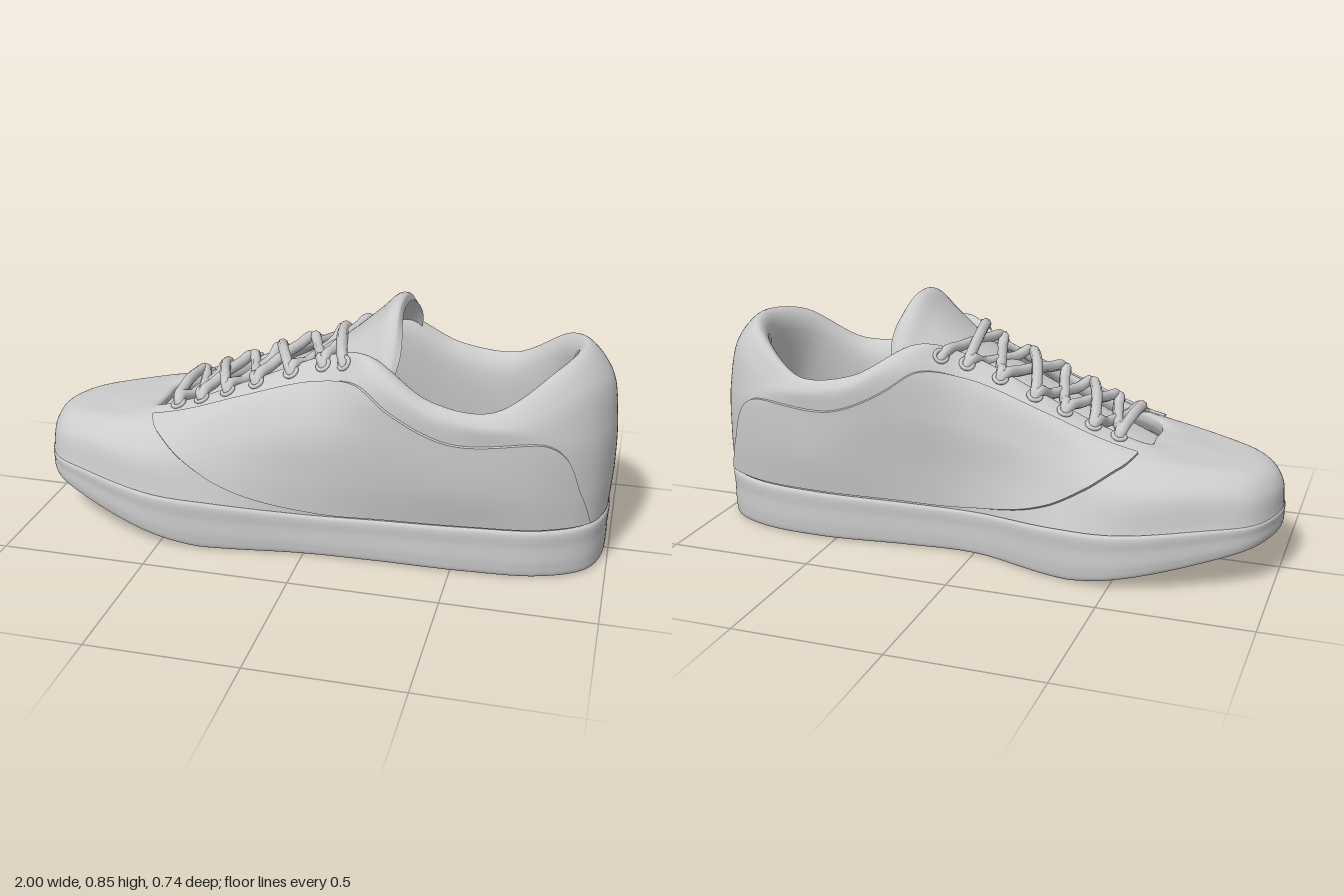
import * as THREE from 'three';
import { ParametricGeometry } from 'three/addons/geometries/ParametricGeometry.js';
import { toCreasedNormals } from 'three/addons/utils/BufferGeometryUtils.js';

const V = (x, y, z) => new THREE.Vector3(x, y, z);
const lerp = THREE.MathUtils.lerp;

// Rings of the upper, from sole joint to rim. Each row is [x, y, left z, right z],
// running along one side from the toe centre to the heel centre.
const joint = [
  [-1, .22, 0, 0], [-.94, .215, .185, -.185], [-.78, .21, .28, -.285], [-.52, .19, .36, -.365],
  [-.3, .175, .35, -.335], [0, .155, .31, -.24], [.25, .16, .3, -.25], [.55, .17, .295, -.28],
  [.8, .175, .265, -.255], [.945, .18, .175, -.17], [.988, .18, 0, 0]];
const low = [
  [-.99, .3, 0, 0], [-.93, .3, .165, -.165], [-.78, .32, .25, -.255], [-.54, .31, .33, -.335],
  [-.3, .3, .325, -.29], [0, .3, .315, -.235], [.25, .31, .325, -.265], [.55, .31, .325, -.3],
  [.8, .31, .28, -.27], [.945, .31, .18, -.175], [.997, .33, 0, 0]];
const middle = [
  [-.95, .35, 0, 0], [-.9, .355, .12, -.12], [-.75, .37, .2, -.2], [-.53, .385, .27, -.27],
  [-.28, .41, .285, -.25], [.02, .46, .305, -.235], [.25, .5, .335, -.285], [.52, .46, .335, -.305],
  [.78, .49, .29, -.28], [.94, .49, .175, -.17], [.992, .5, 0, 0]];
const high = [
  [-.78, .383, 0, 0], [-.75, .385, .09, -.09], [-.65, .4, .17, -.17], [-.46, .44, .2, -.19],
  [-.23, .52, .22, -.2], [.04, .61, .235, -.2], [.24, .65, .315, -.275], [.46, .56, .335, -.305],
  [.68, .55, .31, -.29], [.885, .64, .185, -.185], [.965, .64, 0, 0]];
const rim = [
  [-.57, .41, 0, 0], [-.57, .41, .09, -.08], [-.55, .42, .13, -.11], [-.4, .47, .135, -.115],
  [-.2, .56, .14, -.12], [.05, .67, .15, -.13], [.2, .715, .24, -.21], [.42, .6, .295, -.265],
  [.62, .58, .285, -.27], [.81, .7, .18, -.18], [.88, .73, 0, 0]];
// Padded collar turning in, then the lining going down
const fold = rim.map(([x, y, l, r], i) =>
  i < 6 ? [x, y - .025, l, r] : [lerp(x, .5, .1), y - .045, l * .86, r * .88]);
const lining = rim.map(([x, y, l, r], i) => i < 6 ? [x, y - .06, l * 1.15, r * 1.15]
  : [lerp(low[i][0], .5, .1), .2, low[i][2] * .82, low[i][3] * .86]);

// Closed ring: along the left side, back along the right
function ring(rows) {
  const left = rows.map(([x, y, l]) => V(x, y, l));
  const right = rows.slice(1, -1).reverse().map(([x, y, , r]) => V(x, y, r));
  return new THREE.CatmullRomCurve3([...left, ...right], true);
}
const rings = [joint, low, middle, high, rim, fold, lining].map(ring);
const STATIONS = 20, LEVELS = 6;

// Point of the upper at u around the shoe and v up from the sole
function upperPoint(u, v) {
  u = ((u % 1) + 1) % 1;
  return new THREE.CatmullRomCurve3(rings.map(r => r.getPoint(u))).getPoint(THREE.MathUtils.clamp(v, 0, 1));
}
function upperNormal(u, v) {
  const e = .002, v0 = Math.max(0, v - e);
  const du = upperPoint(u + e, v).sub(upperPoint(u - e, v));
  const dv = upperPoint(u, v + e).sub(upperPoint(u, v0));
  return du.cross(dv).normalize();
}

export function createModel() {
  const model = new THREE.Group();
  const mat = new THREE.MeshStandardMaterial({ color: 0xcccccc, side: THREE.DoubleSide });
  const add = (geometry, name, parent = model) => {
    const mesh = new THREE.Mesh(geometry, mat);
    mesh.name = name;
    parent.add(mesh);
    return mesh;
  };
  const surface = (fn, nu, nv) => new ParametricGeometry((u, v, p) => p.copy(fn(u, v)), nu, nv);

  add(surface(upperPoint, 160, 48), 'upper');

  // Sole wall with toe spring; steps are [outward spread, height fraction]
  const solePoint = (u, spread, f) => {
    const p = rings[0].getPoint(u);
    const ground = .15 * Math.pow(Math.max(0, -.35 - p.x) / .65, 1.2);
    return V(p.x * (1 + spread * .4), lerp(ground, p.y, f), p.z * (1 + spread * 2));
  };
  const steps = [[-.03, 0], [-.01, .03], [.002, .25], [.003, .6], [.003, .96], [-.03, 1]];
  add(surface((u, v) => new THREE.CatmullRomCurve3(
    steps.map(([s, f]) => solePoint(u, s, f))).getPoint(v), 140, 20), 'soleWall');
  add(surface((u, v) => solePoint(1 - u / 2, -.03, 0).lerp(solePoint(u / 2, -.03, 0), v), 60, 6), 'outsole');

  // Floor inside the shoe
  add(surface((u, v) => {
    const p = rings[0].getPoint(u / 2).lerp(rings[0].getPoint(1 - u / 2), v);
    return V(p.x * .95, .21, p.z * .93);
  }, 40, 6), 'insole');

  // Side panels laid over the upper; edges are in [station, level]
  const edge = pts => new THREE.CatmullRomCurve3(pts.map(([k, l]) => V(k, l, 0)));
  const panelTop = edge([[2.65, 2.8], [4, 3], [5, 3], [5.7, 2.9], [6.2, 2.45], [6.8, 2.2], [7.9, 2.05],
    [8.3, 1.7], [8.65, .9], [8.9, .06]]);
  const panelBottom = edge([[2.65, 2.75], [3.1, 1.9], [3.6, 1], [4.35, .3], [5.2, .06], [6.2, .05],
    [7.2, .05], [8, .05], [8.5, .05], [8.9, .05]]);
  for (const side of ['left', 'right']) {
    const flip = side === 'right';
    const panel = surface((s, row) => {
      const a = flip ? 1 - s : s;
      // Narrow first and last rows make a crisp step at the seam
      const border = row < .01 || row > .99;
      const t = border ? Math.round(row) : lerp(.01, .99, (row - 1 / 24) / (22 / 24));
      const q = panelBottom.getPoint(a).lerp(panelTop.getPoint(a), t);
      const u = (flip ? STATIONS - q.x : q.x) / STATIONS, v = q.y / LEVELS;
      return upperPoint(u, v).addScaledVector(upperNormal(u, v), border ? -.004 : .009);
    }, 90, 24);
    add(toCreasedNormals(panel, .6), side + 'SidePanel');
  }

  // Tongue: arched sections of [x, y, half width, drop at edges, half thickness]
  const sections = [[-.58, .37, .14, .04, .01], [-.4, .445, .17, .06, .012], [-.1, .575, .2, .09, .013],
    [.08, .68, .23, .13, .014], [.19, .775, .25, .18, .014], [.25, .83, .26, .2, .014],
    [.275, .835, .26, .2, .01], [.285, .82, .255, .19, 0]];
  const spine = new THREE.CatmullRomCurve3(sections.map(s => V(s[0], s[1], 0)));
  const shape = new THREE.CatmullRomCurve3(sections.map(s => V(s[2], s[3], s[4])));
  add(surface((u, v) => {
    const c = spine.getPoint(u), d = shape.getPoint(u), a = v * Math.PI * 2;
    const t = Math.cos(a), bow = Math.abs(t) ** 2.6;
    return V(c.x + .02 * u ** 6 * Math.sin(bow * Math.PI), c.y - d.y * bow + d.z * Math.sin(a), .015 + d.x * t);
  }, 48, 48), 'tongue');

  // Eyelets along both throat edges
  const laces = new THREE.Group();
  laces.name = 'lacing';
  model.add(laces);
  const holes = [0, 1, 2, 3, 4, 5, 6].map(i => [1, -1].map(side => {
    const k = 2.75 + i * .45;
    const u = (side > 0 ? k : STATIONS - k) / STATIONS, v = 3.45 / LEVELS;
    const normal = upperNormal(u, v);
    const eyelet = add(new THREE.TorusGeometry(.021, .007, 8, 20), 'eyelet', laces);
    eyelet.position.copy(upperPoint(u, v)).addScaledVector(normal, .004);
    eyelet.quaternion.setFromUnitVectors(V(0, 0, 1), normal);
    return eyelet.position;
  }));

  // Laces dive into an eyelet at each end and arch over the throat
  const lace = (a, b, rise) => {
    const at = (t, up) => a.clone().lerp(b, t).add(V(-up * .35, up, 0));
    const path = new THREE.CatmullRomCurve3([at(0, -.02), at(.06, .014), at(.25, rise * .8 + .008),
      at(.5, rise + .01), at(.75, rise * .8 + .008), at(.94, .014), at(1, -.02)]);
    add(new THREE.TubeGeometry(path, 32, .019, 8), 'lace', laces);
  };
  lace(holes[0][0], holes[0][1], .02);
  for (let i = 1; i < 6; i += 2) {
    lace(holes[i][0], holes[i + 1][1], .01);
    lace(holes[i][1], holes[i + 1][0], .028);
  }
  // Lower crossings between the upper pairs
  for (let i = 0; i < 6; i += 2) {
    lace(holes[i][0], holes[i + 1][1], -.016);
    lace(holes[i][1], holes[i + 1][0], -.01);
  }
  return model;
}
